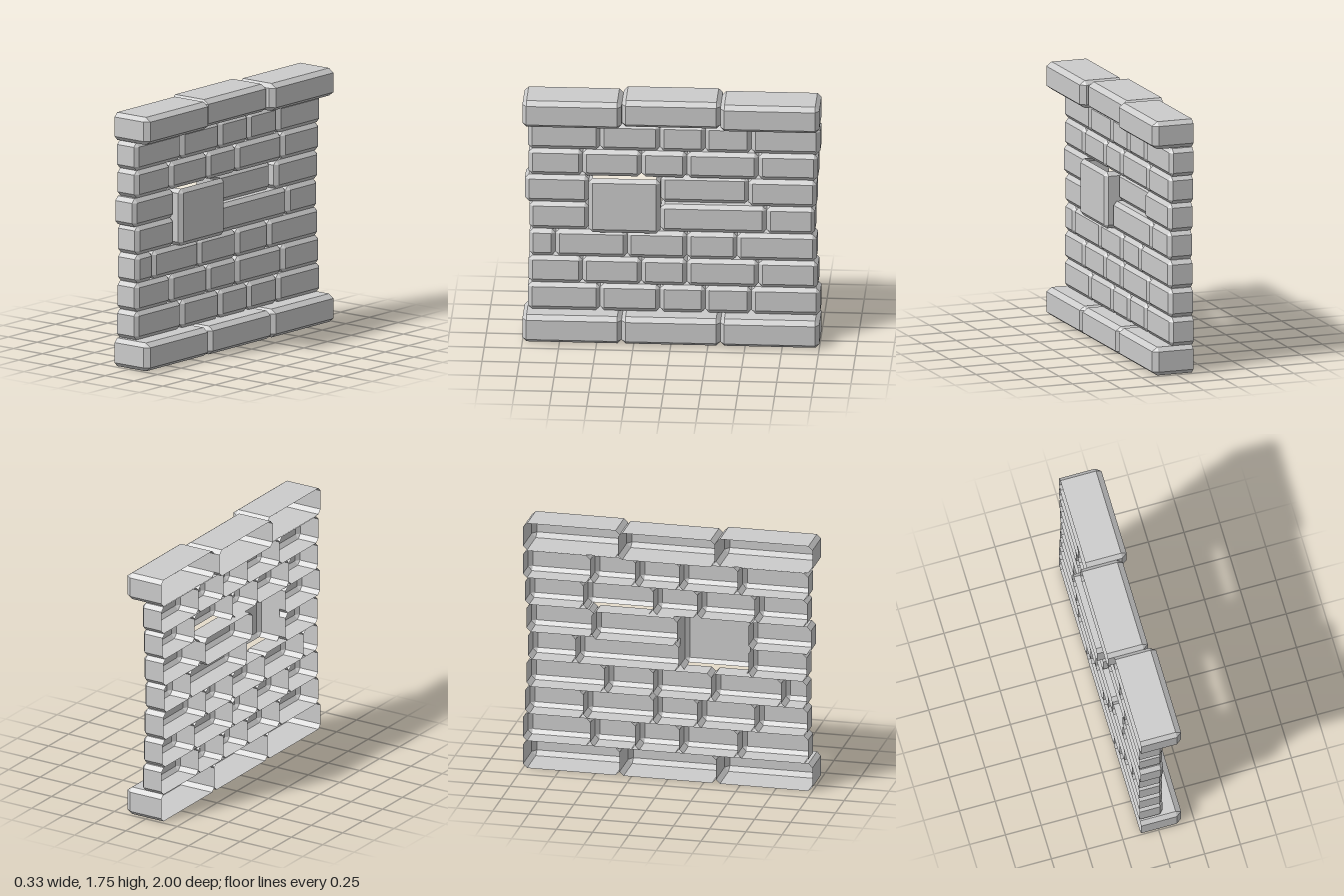
import * as THREE from 'three';

const material = new THREE.MeshStandardMaterial({ color: 0xcccccc, flatShading: true, side: THREE.DoubleSide });

// Chamfered brick facing +x, open at the back. Sides in skip (0 bottom, 2 -z end, 4 top, 6 +z end) are left out.
function brick(name, y0, y1, z0, z1, xBack, xFront, c, cx, skip = []) {
  const outline = [
    [y0, z1 - c], [y0, z0 + c], [y0 + c, z0], [y1 - c, z0],
    [y1, z0 + c], [y1, z1 - c], [y1 - c, z1], [y0 + c, z1],
  ];
  const face = [[y0 + c, z1 - c], [y0 + c, z0 + c], [y1 - c, z0 + c], [y1 - c, z1 - c]];
  const at = (x, [y, z]) => [x, y, z];
  const pos = [];
  const tri = (a, b, d) => pos.push(...a, ...b, ...d);
  for (let i = 0; i < 8; i++) {
    const j = (i + 1) % 8;
    const [bi, bj] = [at(xBack, outline[i]), at(xBack, outline[j])];
    const [mi, mj] = [at(xFront - cx, outline[i]), at(xFront - cx, outline[j])];
    const ki = Math.floor((i + 1) / 2) % 4, kj = Math.floor((j + 1) / 2) % 4;
    const [fi, fj] = [at(xFront, face[ki]), at(xFront, face[kj])];
    // wall
    if (!skip.includes(i)) {
      tri(bi, bj, mj);
      tri(bi, mj, mi);
    }
    // front chamfer
    tri(mi, mj, fj);
    if (ki !== kj) tri(mi, fj, fi);
  }
  const f = face.map((p) => at(xFront, p));
  tri(f[0], f[1], f[2]);
  tri(f[0], f[2], f[3]);
  const geometry = new THREE.BufferGeometry();
  geometry.setAttribute('position', new THREE.Float32BufferAttribute(pos, 3));
  geometry.computeVertexNormals();
  const mesh = new THREE.Mesh(geometry, material);
  mesh.name = name;
  return mesh;
}

export function createModel() {
  const wall = new THREE.Group();
  wall.name = 'brickWall';

  // Base and coping: three long stones each, the middle coping stone set back
  const stones = [1, 0.333, -0.333, -1];
  for (const [name, y0, y1, setback] of [['baseStone', 0, 0.195, 0], ['copingStone', 1.56, 1.75, 0.042]]) {
    for (let i = 0; i < 3; i++) {
      const dx = i === 1 ? -setback : 0;
      wall.add(brick(name, y0, y1, stones[i + 1], stones[i], -0.123 + dx, 0.165 + dx, 0.028, 0.038));
    }
  }

  // Courses of bricks: bottom, top, then runs of joint positions along z
  const jointsA = [0.97, 0.483, 0.08, -0.225, -0.536, -1];
  const jointsB = [0.965, 0.6, 0.204, -0.102, -0.584, -0.985];
  const courses = [
    [0.195, 0.39, [jointsA]],
    [0.39, 0.585, [jointsB]],
    [0.585, 0.78, [[0.96, 0.783, 0.3, -0.102, -0.44, -0.976]]],
    [0.78, 0.977, [[0.96, 0.558], [0.075, -0.638, -0.965]]],
    [0.977, 1.172, [[0.99, 0.558], [0.075, -0.515, -0.976]]],
    [1.172, 1.362, [jointsB]],
    [1.362, 1.555, [jointsA]],
  ];
  courses.forEach(([y0, y1, runs], row) => {
    runs.forEach((joints, run) => {
      for (let i = 0; i < joints.length - 1; i++) {
        // One brick is pushed back, and the one above it has no underside
        const dx = row === 4 && run === 1 && i === 0 ? -0.042 : 0;
        const skip = row === 5 && i === 3 ? [0] : [];
        wall.add(brick('brick', y0, y1, joints[i + 1], joints[i], -0.125 + dx, 0.042 + dx, 0.028, 0.023, skip));
      }
    });
  });

  // Large raised block spanning two courses, open below and above
  wall.add(brick('raisedBlock', 0.78, 1.172, 0.075, 0.558, -0.075, 0.09, 0.028, 0.022, [0, 4]));
  return wall;
}
